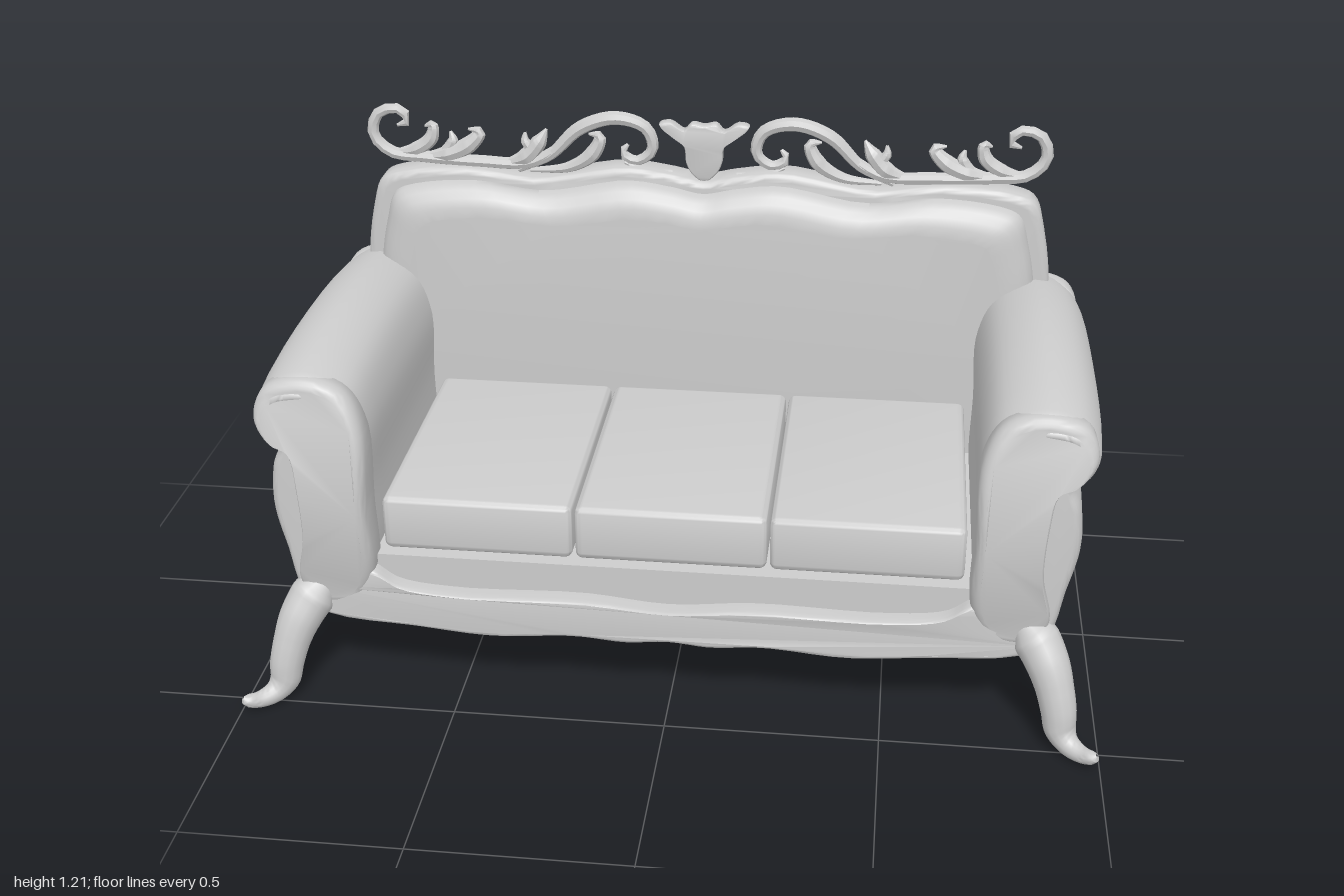
import * as THREE from 'three';
import { toCreasedNormals } from 'three/addons/utils/BufferGeometryUtils.js';
import { RoundedBoxGeometry } from 'three/addons/geometries/RoundedBoxGeometry.js';

const clay = new THREE.MeshStandardMaterial({ color: 0xcccccc });
clay.name = 'pale grey';

// Smooth closed outline through [x, y] points, anticlockwise
function outline(pts, n = 72) {
  const c = new THREE.CatmullRomCurve3(pts.map(([x, y]) => new THREE.Vector3(x, y, 0)), true, 'centripetal');
  const out = c.getPoints(n).slice(0, n).map(p => new THREE.Vector2(p.x, p.y));
  return THREE.ShapeUtils.isClockWise(out) ? out.reverse() : out;
}

// Full outline from its right half, listed from bottom centre to top centre
const mirrorHalf = half => [...half, ...half.slice(1, -1).reverse().map(([x, y]) => [-x, y])];

// Plate between z0 and z1, its rims rounded by shrinking the outline towards its middle
function plate(pts, z0, z1, { inset = .02, front = .02, back = .02, steps = 1 }) {
  const box = new THREE.Box2().setFromPoints(pts);
  const mid = box.getCenter(new THREE.Vector2()), half = box.getSize(new THREE.Vector2()).multiplyScalar(.5);
  const layers = [], rim = 5, n = pts.length;
  for (let k = 0; k <= rim; k++) {
    const a = k / rim * Math.PI / 2;
    layers.push([z0 + back * (1 - Math.sin(a)), inset * (1 - Math.cos(a))]);
  }
  for (const l of layers) l[1] = inset - l[1];
  layers.reverse();
  layers.forEach((l, k) => {
    const a = k / rim * Math.PI / 2;
    l[0] = z0 + back * (1 - Math.cos(a));
    l[1] = inset * (1 - Math.sin(a));
  });
  for (let s = 1; s < steps; s++) layers.push([THREE.MathUtils.lerp(z0 + back, z1 - front, s / steps), 0]);
  for (let k = 0; k <= rim; k++) {
    const a = k / rim * Math.PI / 2;
    layers.push([z1 - front * (1 - Math.sin(a)), inset * (1 - Math.cos(a))]);
  }
  const pos = [], index = [];
  for (const [z, d] of layers) {
    for (const p of pts) {
      pos.push(mid.x + (p.x - mid.x) * (1 - d / half.x), mid.y + (p.y - mid.y) * (1 - d / half.y), z);
    }
  }
  for (let l = 0; l < layers.length - 1; l++) {
    for (let i = 0; i < n; i++) {
      const a = l * n + i, b = l * n + (i + 1) % n;
      index.push(a, b, b + n, a, b + n, a + n);
    }
  }
  const top = (layers.length - 1) * n;
  for (const [a, b, c] of THREE.ShapeUtils.triangulateShape(pts, [])) {
    index.push(a + top, b + top, c + top, c, b, a);
  }
  const g = new THREE.BufferGeometry();
  g.setAttribute('position', new THREE.Float32BufferAttribute(pos, 3));
  g.setIndex(index);
  return g;
}

// Move every vertex by a rule
function bend(g, rule) {
  const p = g.attributes.position, v = new THREE.Vector3();
  for (let i = 0; i < p.count; i++) {
    rule(v.fromBufferAttribute(p, i));
    p.setXYZ(i, v.x, v.y, v.z);
  }
  return g;
}

// Round tube through [x, y, z, radius] points
function taperTube(pts, seg = 36, sides = 10) {
  const curve = new THREE.CatmullRomCurve3(pts.map(p => new THREE.Vector3(p[0], p[1], p[2])));
  const g = new THREE.TubeGeometry(curve, seg, 1, sides);
  const p = g.attributes.position, v = new THREE.Vector3();
  for (let i = 0; i <= seg; i++) {
    const c = curve.getPointAt(i / seg);
    const t = curve.getUtoTmapping(i / seg) * (pts.length - 1);
    const k = Math.min(Math.floor(t), pts.length - 2);
    const r = THREE.MathUtils.lerp(pts[k][3], pts[k + 1][3], t - k);
    for (let j = 0; j <= sides; j++) {
      const n = i * (sides + 1) + j;
      v.fromBufferAttribute(p, n).sub(c).multiplyScalar(r).add(c);
      p.setXYZ(n, v.x, v.y, v.z);
    }
  }
  return g;
}

// Reflected copy with the corner order kept outward
function reflect(geo, sx, sz) {
  const g = geo.clone().scale(sx, 1, sz);
  if (sx * sz > 0) return g;
  for (const a of Object.values(g.attributes)) {
    for (let i = 0; i < a.count; i += 3) {
      for (let k = 0; k < a.itemSize; k++) {
        const t = a.getComponent(i + 1, k);
        a.setComponent(i + 1, k, a.getComponent(i + 2, k));
        a.setComponent(i + 2, k, t);
      }
    }
  }
  return g;
}

export function createModel() {
  const root = new THREE.Group();
  root.name = 'sofa';
  const add = (name, geo, copies = [[1, 1]]) => {
    const smooth = toCreasedNormals(geo, 0.7);
    for (const [sx, sz] of copies) {
      const m = new THREE.Mesh(reflect(smooth, sx, sz), clay);
      m.name = name;
      root.add(m);
    }
  };
  const sides = [[1, 1], [-1, 1]], ends = [[1, 1], [1, -1]], corners = [...sides, [1, -1], [-1, -1]];

  // Backrest frame and its two upholstered faces
  const back = [[0, .25], [.6, .25], [.81, .26], [.85, .34], [.86, .6], [.868, .8], [.845, .95], [.82, 1.02],
    [.77, 1.042], [.6, 1.058], [.42, 1.038], [.2, 1.073], [.08, 1.06], [0, 1.045]];
  const panel = (w, drop) => outline(mirrorHalf(back.map(([x, y]) => [x * w, y > .9 ? y - drop : y])), 110);
  add('backFrame', plate(panel(1, 0), -.42, -.33, {}));
  add('backCushion', plate(panel(.955, .03), -.35, -.27, { inset: .08, front: .06 }));
  add('backRearPadding', plate(panel(.94, .03), -.492, -.4, { inset: .045, back: .06 }));

  // Seat base and three loose cushions
  add('seatBase', new THREE.BoxGeometry(1.5, .16, .77).translate(0, .278, .005));
  add('underside', new THREE.BoxGeometry(1.68, .04, .8).translate(0, .22, 0));
  for (let i = -1; i <= 1; i++) {
    const c = new RoundedBoxGeometry(.446, .135, .66, 3, .018);
    add('seatCushion', c.translate(i * .453, .431, .045));
  }

  // Rolled arms, lower towards both ends
  const arm = [[.72, .23], [.697, .34], [.697, .52], [.695, .7], [.735, .8], [.83, .845], [.915, .815], [.96, .74],
    [.948, .68], [.905, .65], [.927, .58], [.935, .48], [.912, .37], [.868, .23]];
  const armGeo = bend(plate(outline(arm), -.44, .41, { inset: .025, front: .035, back: .03, steps: 8 }), v => {
    if (v.y > .6) v.y -= (v.y - .6) * .14 * (v.z / .42) ** 2;
    if (v.x > .8) v.x -= (v.x - .8) * .08 * (v.z / .42) ** 4;
  });
  add('arm', armGeo, sides);

  // Carved posts closing the arms, swelling at mid height
  const post = [[.74, .24], [.695, .31], [.692, .5], [.695, .7], [.74, .785], [.83, .812], [.92, .785], [.945, .72],
    [.92, .675], [.87, .65], [.85, .55], [.848, .42], [.872, .3], [.85, .24]];
  const postAt = (z, swell) => bend(plate(outline(post), .36, z, { inset: .022, front: .03, back: .005 }), v => {
    if (v.z > .38) v.z += swell * Math.max(0, Math.sin(Math.PI * (v.y - .27) / .5));
  });
  add('frontPost', postAt(.423, .038), sides);
  add('rearPost', postAt(.442, .006), [[1, -1], [-1, -1]]);
  add('postScroll', taperTube([[.76, .755, .405, .004], [.83, .775, .412, .014], [.895, .76, .412, .015],
    [.915, .72, .412, .014], [.885, .697, .414, .012], [.865, .72, .414, .004]]), sides);

  // Wavy rails at front and rear
  const rail = [[0, .185], [.1, .176], [.22, .185], [.42, .17], [.6, .183], [.82, .2], [.87, .24], [.82, .29], [.74, .335],
    [.7, .335], [.64, .297], [.5, .28], [.2, .285], [0, .268]];
  const railGeo = bend(plate(outline(mirrorHalf(rail), 110), .36, .436, { inset: .015, front: .025 }), v => {
    v.z -= .015 * (v.x / .8) ** 4;
  });
  add('endRail', railGeo, ends);

  // Sagging rails below the arms
  const sideRail = [[0, .135], [.1, .138], [.25, .16], [.4, .192], [.43, .225], [.4, .26], [.25, .25], [.12, .24], [0, .237]];
  const sideGeo = plate(outline(mirrorHalf(sideRail)), .81, .888, { front: .025 }).rotateY(Math.PI / 2);
  add('sideRail', sideGeo, sides);

  // Splayed legs with upturned toes
  add('leg', taperTube([[.8, .3, .385, .02], [.845, .25, .41, .055], [.875, .2, .44, .05], [.893, .15, .46, .044],
    [.905, .1, .473, .041], [.912, .055, .482, .037], [.93, .03, .502, .027], [.96, .024, .533, .02],
    [.984, .037, .558, .015], [.99, .047, .563, .003]], 44, 14), corners);

  // Pierced crest: scrolls and leaves in one plane, as [x, y, radius]
  const z = -.361;
  const scrolls = [
    [[.47, 1.05, .008], [.39, 1.09, .014], [.31, 1.165, .018], [.22, 1.194, .018], [.145, 1.17, .016], [.13, 1.115, .014],
      [.17, 1.085, .013], [.205, 1.105, .013], [.19, 1.128, .004]],
    [[.3, 1.165, .004], [.36, 1.115, .013], [.44, 1.07, .015], [.56, 1.068, .016], [.71, 1.075, .016], [.795, 1.085, .016],
      [.838, 1.13, .015], [.822, 1.185, .014], [.77, 1.198, .013], [.745, 1.168, .013], [.775, 1.155, .004]],
    [[.44, 1.05, .006], [.34, 1.062, .014], [.28, 1.1, .02], [.262, 1.145, .014], [.29, 1.15, .003]],
    [[.52, 1.06, .006], [.45, 1.085, .022], [.415, 1.125, .02], [.395, 1.16, .003]],
    [[.43, 1.1, .014], [.45, 1.125, .012], [.45, 1.15, .003]],
    [[.72, 1.075, .006], [.65, 1.085, .022], [.595, 1.11, .022], [.565, 1.145, .014], [.595, 1.152, .003]],
    [[.66, 1.085, .014], [.635, 1.12, .014], [.64, 1.145, .003]],
    [[.8, 1.08, .006], [.73, 1.095, .018], [.69, 1.125, .018], [.685, 1.16, .012], [.705, 1.155, .003]],
    [[.08, 1.06, .004], [.14, 1.055, .012], [.2, 1.08, .004]]
  ];
  for (const pts of scrolls) add('crestScroll', taperTube(pts.map(([x, y, r]) => [x, y, z, r]), 30, 8), sides);
  const vase = [[0, 1.04], [.03, 1.06], [.045, 1.09], [.05, 1.13], [.08, 1.155], [.112, 1.185], [.085, 1.192], [.05, 1.172],
    [.03, 1.19], [0, 1.185]];
  add('crestVase', plate(outline(mirrorHalf(vase)), z - .017, z + .017, { inset: .006, front: .008, back: .008 }));

  return root;
}
